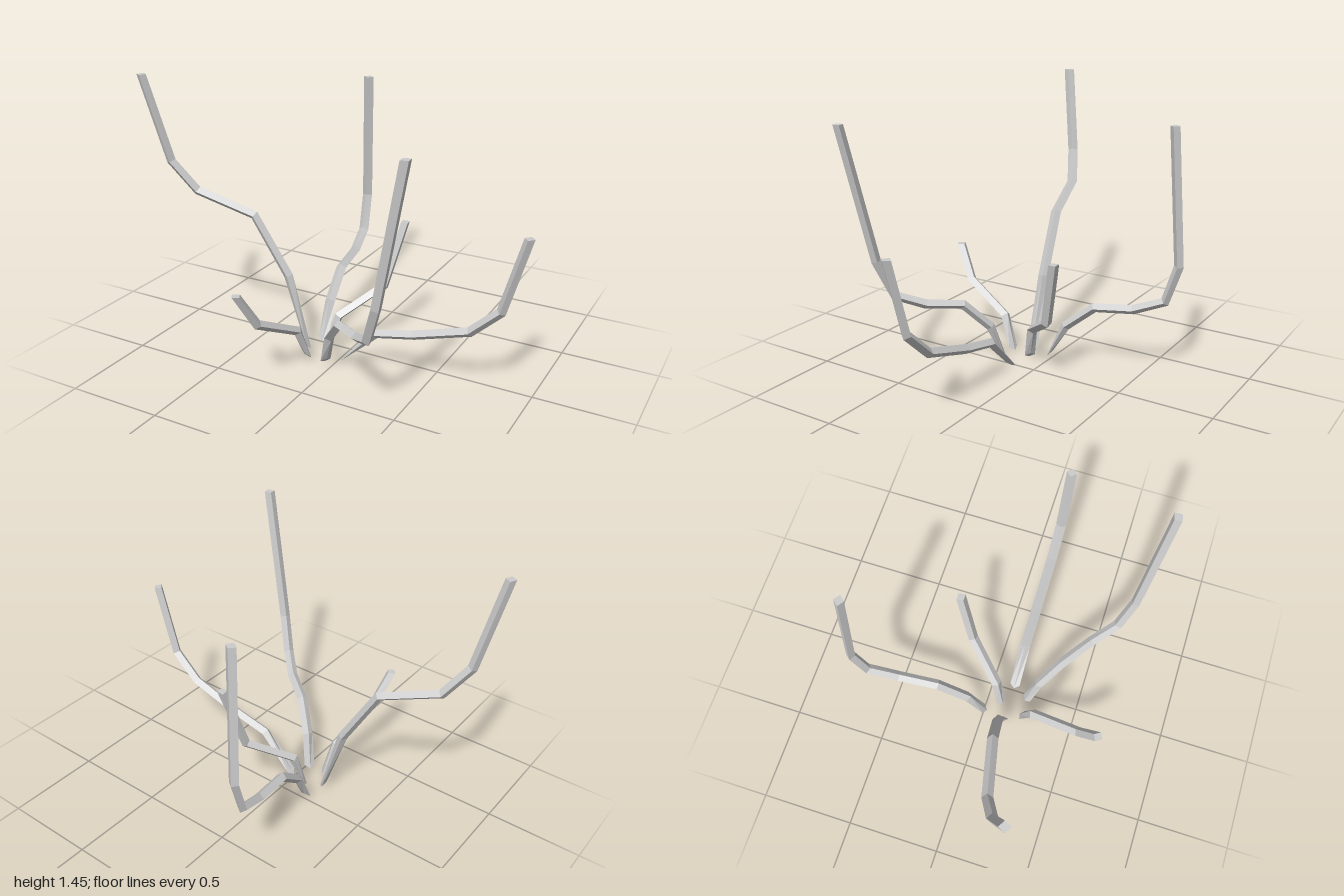
import * as THREE from 'three';

const UP = new THREE.Vector3(0, 1, 0);
const SIDE_R = 0.028; // half diagonal across the branch
const RISE_R = 0.025; // half diagonal in the plane of growth

// Centre lines of the branches, base to tip
const BRANCHES = {
  rightLowBranch: [[0.03, 0.024, 0.125], [0.21, 0.21, 0.125], [0.42, 0.255, 0.125], [0.71, 0.345, 0.125], [0.86, 0.485, 0.125], [0.97, 0.872, 0.125]],
  leftTallBranch: [[-0.19, 0.045, 0.125], [-0.3, 0.42, 0.125], [-0.48, 0.735, 0.155], [-0.78, 0.84, 0.225], [-0.89, 1.0, 0.285], [-0.975, 1.455, 0.365]],
  backTallBranch: [[-0.165, 0.04, 0], [-0.175, 0.215, -0.09], [-0.195, 0.345, -0.25], [-0.22, 0.37, -0.46], [-0.25, 0.435, -0.62], [-0.26, 0.63, -0.682], [-0.235, 1.33, -0.64]],
  frontTallBranch: [[-0.03, 0.04, 0.215], [0.02, 0.205, 0.26], [0.13, 0.345, 0.355], [0.29, 0.375, 0.475], [0.4, 0.435, 0.583], [0.47, 0.63, 0.637], [0.622, 1.34, 0.693]],
  backShortBranch: [[-0.09, 0.04, 0.08], [-0.05, 0.21, 0.04], [0.12, 0.345, -0.15], [0.195, 0.69, -0.235]],
  frontShortBranch: [[-0.135, 0.04, 0.218], [-0.155, 0.205, 0.28], [-0.215, 0.345, 0.545], [-0.26, 0.53, 0.647]],
};

// Sweeps a diamond section along a polyline, with a slanted base and a level tip
function branchGeometry(coords) {
  const pts = coords.map((c) => new THREE.Vector3(...c));
  const last = pts.length - 1;
  const out = pts[last].clone().sub(pts[0]).setY(0).normalize();
  const side = out.clone().cross(UP);

  const rings = pts.map((p, i) => {
    let n;
    if (i === 0) n = out.clone().add(UP).normalize().negate();
    else if (i === last) n = out.clone().negate();
    else {
      const t = p.clone().sub(pts[i - 1]).normalize()
        .add(pts[i + 1].clone().sub(p).normalize()).normalize();
      n = side.clone().cross(t).normalize();
    }
    return [[n, RISE_R], [side, SIDE_R], [n, -RISE_R], [side, -SIDE_R]]
      .map(([dir, r]) => p.clone().addScaledVector(dir, r));
  });

  const verts = [];
  const quad = (a, b, c, d) => [a, b, c, a, c, d].forEach((v) => verts.push(v.x, v.y, v.z));
  for (let i = 0; i < last; i++) {
    for (let j = 0; j < 4; j++) {
      const k = (j + 1) % 4;
      quad(rings[i][j], rings[i][k], rings[i + 1][k], rings[i + 1][j]);
    }
  }
  quad(...rings[0].slice().reverse());
  quad(...rings[last]);

  const geo = new THREE.BufferGeometry();
  geo.setAttribute('position', new THREE.Float32BufferAttribute(verts, 3));
  geo.computeVertexNormals();
  return geo;
}

export function createModel() {
  const model = new THREE.Group();
  model.name = 'branches';
  const material = new THREE.MeshStandardMaterial({ color: 0xcccccc, flatShading: true });
  for (const [name, coords] of Object.entries(BRANCHES)) {
    const mesh = new THREE.Mesh(branchGeometry(coords), material);
    mesh.name = name;
    model.add(mesh);
  }
  return model;
}
